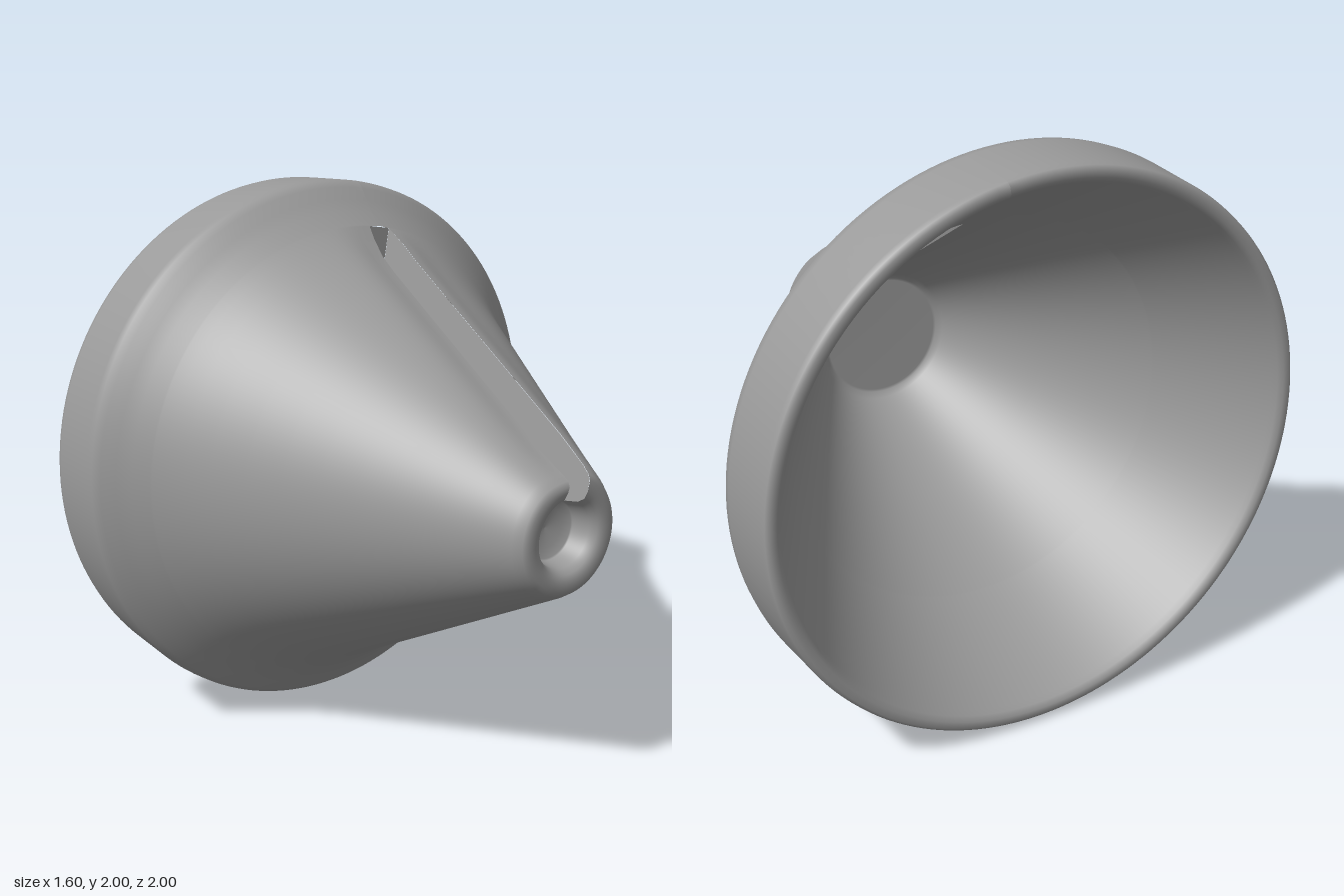
import * as THREE from 'three';

const SLOT = 0.045;   // half width of the slot
const PLUG = 0.38;    // where the hollow ends behind the tip
const SOCKET = 0.7;   // where the recess in the tip starts to close
const { smoothstep } = THREE.MathUtils;

// Sections of the shell's profile as [x, radius]
const plugBack = [[PLUG, 0], [PLUG, 0.22]];
const hollow = [[0.377, 0.23], [0.36, 0.25], [0, 0.475], [-0.375, 0.7]];
const rim = [[-0.38, 0.703], [-0.765, 0.92], [-0.785, 0.93], [-0.8, 0.945], [-0.8, 0.97],
  [-0.79, 0.982], [-0.77, 0.987], [-0.56, 1], [-0.53, 0.997], [-0.505, 0.977]];
const flare = [[-0.47, 0.936], [-0.43, 0.897], [-0.38, 0.854]];
const cone = [[-0.375, 0.85], [-0.34, 0.823], [-0.28, 0.783]];
for (let i = 0; i <= 8; i++) cone.push([-0.2 + i * 0.12, 0.735 - i * 0.064]);
cone.push([0.79, 0.203], [0.8, 0.185]);
const recess = [[0.8, 0.155], [0.79, 0.132], [0.765, 0.117], [SOCKET + 0.003, 0.106]];
const recessFloor = [[SOCKET, 0.1], [0.687, 0.07], [0.68, 0]];

// The slot cuts some sections; only the outer cone has uneven lips beside it
const section = (points, cut, lips) => points.map(([x, r]) => ({
  x, r, cut, lip: lips ? smoothstep(x, -0.38, -0.3) * (1 - 0.6 * smoothstep(x, 0.7, 0.8)) : 0,
}));
const profile = [
  ...section(plugBack, false, false), ...section(hollow, true, false),
  ...section(rim, false, false), ...section(flare, false, false),
  ...section(cone, true, true), ...section(recess, true, false),
  ...section(recessFloor, false, false),
];

// Radius near the slot: the front lip sinks, the back lip rises
const lipRadius = (p, side, distance) =>
  p.r + p.lip * (side > 0 ? -0.03 : 0.02) * Math.exp(-((distance / 0.09) ** 2));

// Revolves the profile about x and opens the cut rows to the slot width
function shellGeometry(segments) {
  const geometry = new THREE.LatheGeometry(profile.map((p) => new THREE.Vector2(p.r, p.x)), segments);
  const { position } = geometry.attributes;
  const n = profile.length;
  for (let i = 0; i < position.count; i++) {
    const p = profile[i % n];
    const phi = Math.floor(i / n) / segments * Math.PI * 2;
    const gap = p.cut ? Math.asin(SLOT / p.r) : 0;
    const theta = gap + phi * (1 - gap / Math.PI);
    const side = theta < Math.PI ? 1 : -1;
    const distance = p.r * (Math.min(theta, Math.PI * 2 - theta) - gap);
    const radius = lipRadius(p, side, distance);
    position.setXYZ(i, p.x, radius * Math.cos(theta), radius * Math.sin(theta));
  }
  geometry.computeVertexNormals();
  return geometry;
}

// Strip across the slot between two (x, height) points
function stripGeometry(a, b) {
  const geometry = new THREE.PlaneGeometry(1, 1);
  const corners = [[a, -SLOT], [a, SLOT], [b, -SLOT], [b, SLOT]];
  corners.forEach(([p, z], i) => geometry.attributes.position.setXYZ(i, p[0], p[1], z));
  geometry.computeVertexNormals();
  return geometry;
}

export function createModel() {
  const model = new THREE.Group();
  model.name = 'slottedCone';
  const solid = new THREE.MeshStandardMaterial({ color: 0x9a9a9a });
  const thin = new THREE.MeshStandardMaterial({ color: 0x9a9a9a, side: THREE.DoubleSide });
  const add = (name, geometry, material) => {
    const mesh = new THREE.Mesh(geometry, material);
    mesh.name = name;
    model.add(mesh);
    return mesh;
  };

  add('coneShell', shellGeometry(160), solid);

  // Side walls of the slot follow the cut part of the profile
  for (const side of [-1, 1]) {
    const outline = profile.filter((p) => p.cut).map((p) =>
      new THREE.Vector2(p.x, Math.sqrt(lipRadius(p, side, 0) ** 2 - SLOT * SLOT)));
    add(side < 0 ? 'slotWallBack' : 'slotWallFront',
      new THREE.ShapeGeometry(new THREE.Shape(outline)), thin).position.z = side * SLOT;
  }

  // Groove floor over the plug, and the wide end of the slot
  add('grooveFloor', stripGeometry([SOCKET, 0.095], [PLUG, 0.226]), thin);
  add('slotEnd', stripGeometry([-0.376, 0.7], [-0.376, 0.85]), thin);

  // Lean the slot towards the back and stand the rim on the ground
  model.rotation.x = -0.18;
  model.position.y = 1;
  const group = new THREE.Group();
  group.name = 'cone';
  group.add(model);
  return group;
}
